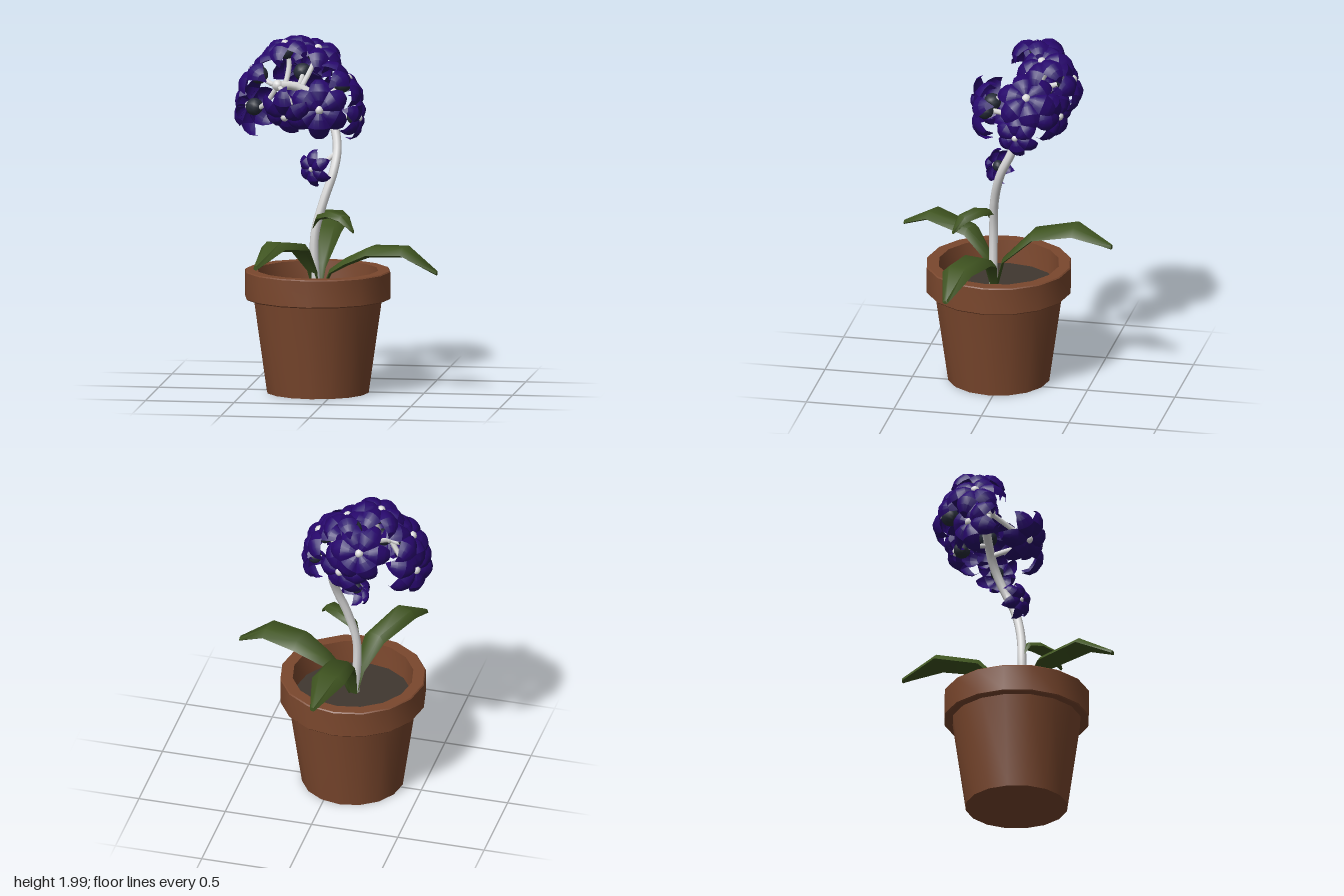
import * as THREE from 'three';
import { toCreasedNormals } from 'three/addons/utils/BufferGeometryUtils.js';

const material = (name, color, side = THREE.FrontSide) => {
  const m = new THREE.MeshStandardMaterial({ color, side });
  m.name = name;
  return m;
};
const terracotta = material('terracotta', 0x7a472d);
const soilBrown = material('soil brown', 0x40372f);
const leafGreen = material('leaf green', 0x3f5420);
const stemWhite = material('stem white', 0xdcdcdc);
const petalPurple = material('petal purple', 0x27076c, THREE.DoubleSide);
const sepalDark = material('sepal dark', 0x262c38);

const V = (p) => new THREE.Vector3(...p);

function addMesh(parent, name, geometry, mat) {
  const mesh = new THREE.Mesh(geometry, mat);
  mesh.name = name;
  parent.add(mesh);
  return mesh;
}

// Joins rows of points into quads; closed rows wrap round
function gridGeometry(rows, closed) {
  const n = rows[0].length, index = [];
  for (let i = 0; i < rows.length - 1; i++) {
    for (let j = 0; j < (closed ? n : n - 1); j++) {
      const a = i * n + j, b = i * n + (j + 1) % n;
      index.push(a, b, a + n, b, b + n, a + n);
    }
  }
  const g = new THREE.BufferGeometry();
  g.setAttribute('position', new THREE.Float32BufferAttribute(rows.flat(2), 3));
  g.setIndex(index);
  g.computeVertexNormals();
  return g;
}

// Leaf: fleshy six-point cross-sections along an arching midrib; each station is [x, y, z, halfWidth]
function leafGeometry(stations) {
  const section = [[1, -0.8], [0.55, 0.8], [-0.55, 0.8], [-1, -0.8], [-0.5, -1.4], [0.5, -1.4]].reverse();
  const rows = stations.map(([x, y, z, w], i) => {
    const a = stations[Math.max(i - 1, 0)], b = stations[Math.min(i + 1, stations.length - 1)];
    const side = new THREE.Vector3(-(b[2] - a[2]), 0, b[0] - a[0]).normalize().multiplyScalar(w);
    const thick = 0.008 + w * 0.19;
    return section.map(([s, t]) => [x + side.x * s, y + thick * t, z + side.z * s]);
  });
  // Collapse both ends so the leaf is closed
  const cap = ([x, y, z]) => section.map(() => [x, y, z]);
  return toCreasedNormals(
    gridGeometry([cap(stations[0]), ...rows, cap(stations.at(-1))], true), 1);
}

// Petal: spreads outward along +y, faces +z and hooks back to a pointed tip
function petalGeometry() {
  const profile = [ // distance, depth, half width
    [0.012, 0, 0.01], [0.06, 0.018, 0.044], [0.115, 0.012, 0.068],
    [0.158, -0.02, 0.052], [0.18, -0.06, 0.027], [0.172, -0.115, 0.003],
  ];
  const rows = profile.map(([d, z, w]) =>
    [-1, -0.5, 0, 0.5, 1].map((v) => [v * w, d - 0.1 * w * v * v, z - 0.45 * w * v * v]));
  return toCreasedNormals(gridGeometry(rows, false), 0.5);
}

export function createModel() {
  const model = new THREE.Group();
  model.name = 'potted flower';

  // Pot with a thick rim, and the soil inside
  const pot = new THREE.Group();
  pot.name = 'pot';
  pot.position.set(-0.097, 0, 0.027);
  model.add(pot);
  const profile = [[0, 0], [0.288, 0], [0.363, 0.53], [0.404, 0.53], [0.41, 0.536],
    [0.41, 0.684], [0.404, 0.69], [0.34, 0.69], [0.325, 0.54]];
  addMesh(pot, 'potWall', toCreasedNormals(
    new THREE.LatheGeometry(profile.map((p) => new THREE.Vector2(...p)), 16), 0.5), terracotta);
  const soil = addMesh(pot, 'soil', new THREE.CircleGeometry(0.33, 16), soilBrown);
  soil.rotation.x = -Math.PI / 2;
  soil.position.y = 0.555;

  // Leaves
  const leaves = {
    rightLeaf: [[-0.08, 0.55, 0.05, 0.02], [-0.02, 0.69, 0.055, 0.035], [0.08, 0.755, 0.07, 0.072],
      [0.22, 0.82, 0.1, 0.1], [0.42, 0.83, 0.155, 0.09], [0.6, 0.712, 0.185, 0.015]],
    frontLeaf: [[-0.1, 0.55, 0.05, 0.02], [-0.12, 0.7, 0.08, 0.035], [-0.175, 0.845, 0.2, 0.07],
      [-0.285, 0.885, 0.44, 0.08], [-0.36, 0.785, 0.62, 0.015]],
    backLeaf: [[-0.1, 0.55, 0.04, 0.02], [-0.09, 0.71, 0.0, 0.035], [-0.08, 0.89, -0.18, 0.085],
      [-0.075, 0.94, -0.42, 0.097], [-0.04, 0.86, -0.63, 0.015]],
    stemLeaf: [[-0.115, 0.93, 0.06, 0.015], [-0.08, 1.0, 0.08, 0.035], [0.0, 1.025, 0.13, 0.05],
      [0.08, 1.01, 0.2, 0.045], [0.135, 0.945, 0.24, 0.008]],
  };
  for (const [name, stations] of Object.entries(leaves)) {
    addMesh(model, name, leafGeometry(stations), leafGreen);
  }

  // Arching stem
  const stemCurve = new THREE.CatmullRomCurve3([
    [-0.1, 0.55, 0.06], [-0.11, 0.88, 0.06], [-0.065, 1.07, 0.045], [-0.01, 1.25, 0],
    [0, 1.38, -0.06], [-0.035, 1.51, -0.11], [-0.12, 1.63, -0.13], [-0.24, 1.7, -0.12],
    [-0.34, 1.71, -0.08]].map(V));
  addMesh(model, 'stem', new THREE.TubeGeometry(stemCurve, 40, 0.025, 8), stemWhite);
  const tip = addMesh(model, 'stemTip', new THREE.SphereGeometry(0.032, 8, 6), stemWhite);
  tip.position.copy(stemCurve.getPoint(1));
  const stemPoints = stemCurve.getPoints(60).slice(28);

  // Flowers: centre, facing direction, size
  const petal = petalGeometry();
  const flowers = [
    [[-0.07, 1.61, 0.15], [0.15, 0.05, 1], 0.93],
    [[0.12, 1.53, -0.11], [1, -0.1, 0.15], 0.7],
    [[0.05, 1.75, -0.16], [0.65, 0.6, -0.1], 0.93],
    [[-0.52, 1.58, -0.17], [-0.75, 0.05, -0.5], 0.9],
    [[-0.49, 1.79, -0.14], [-0.7, 0.6, 0], 0.93],
    [[-0.27, 1.56, 0.13], [-0.3, -0.6, 0.7], 0.88],
    [[-0.24, 1.77, -0.37], [-0.1, 0.35, -0.85], 0.93],
    [[-0.13, 1.91, -0.21], [0.25, 0.85, 0.2], 0.88],
    [[-0.31, 1.94, -0.15], [-0.25, 0.85, 0.1], 0.88],
    [[-0.11, 1.59, -0.32], [0.35, -0.1, -0.9], 0.88],
    [[-0.13, 1.26, 0.06], [-0.5, -0.1, 0.85], 0.58],
  ];
  for (const [at, facing, size] of flowers) {
    const flower = new THREE.Group();
    flower.name = 'flower';
    const centre = V(at), dir = V(facing).normalize();
    flower.position.copy(centre);
    flower.quaternion.setFromUnitVectors(new THREE.Vector3(0, 0, 1), dir);
    flower.scale.setScalar(size);
    model.add(flower);
    for (let i = 0; i < 6; i++) {
      const p = addMesh(flower, 'petal', petal, petalPurple);
      p.rotation.z = (i * Math.PI) / 3;
      p.position.z = (i % 2) * 0.006;
    }
    const heart = addMesh(flower, 'flowerHeart', new THREE.SphereGeometry(0.028, 10, 8), stemWhite);
    heart.position.z = -0.006;
    const sepal = addMesh(flower, 'sepal', new THREE.SphereGeometry(0.055, 10, 8), sepalDark);
    sepal.position.z = -0.052;

    // Stalk from the nearest point of the stem to the back of the flower
    const start = stemPoints.reduce((a, b) => (b.distanceTo(centre) < a.distanceTo(centre) ? b : a));
    const end = centre.clone().addScaledVector(dir, -0.08 * size);
    const bend = centre.clone().addScaledVector(dir, -0.14 * size);
    addMesh(model, 'stalk', new THREE.TubeGeometry(
      new THREE.QuadraticBezierCurve3(start, bend, end), 8, 0.015, 6), stemWhite);
  }
  return model;
}
